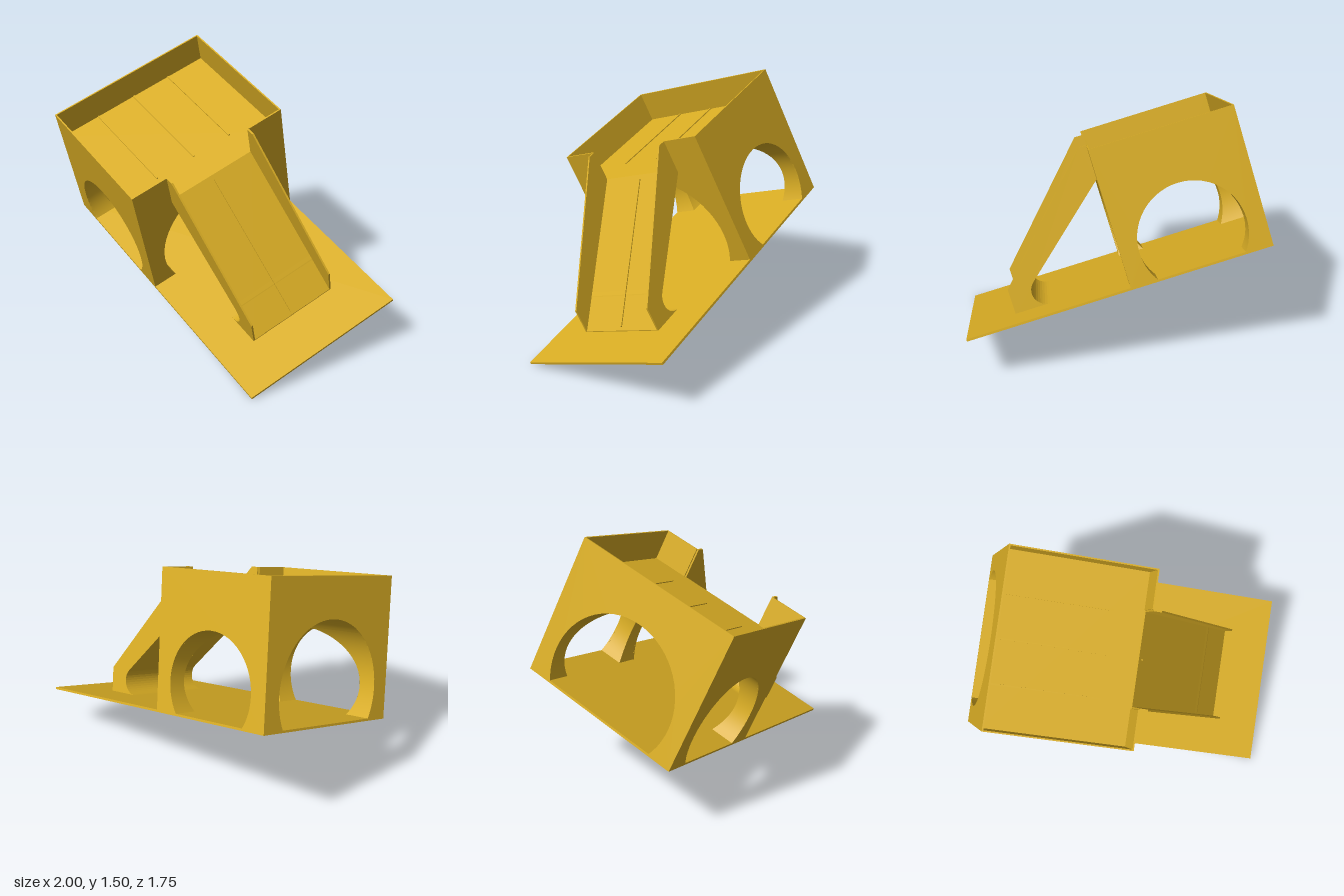
import * as THREE from 'three';

const gold = new THREE.MeshStandardMaterial({ color: 0xd9ad24, side: THREE.DoubleSide });

// Main sizes: the toy lies along x, with the tower at -x and the ramp at +x
const L = 1.774, W = 0.4975, BASE = 0.013;
const BACK = -0.887, FRONT = -0.062, CX = (BACK + FRONT) / 2, HALF = (FRONT - BACK) / 2;
const TOP = 0.816, DECK = 0.635, WALL = 0.008, RAMP = 0.275;
const ARCH_Y = 0.188, R_LONG = 0.395, R_CROSS = 0.31;

function add(group, name, geometry, x = 0, y = 0, z = 0) {
  const mesh = new THREE.Mesh(geometry, gold);
  mesh.name = name;
  mesh.position.set(x, y, z);
  group.add(mesh);
  return mesh;
}

function extrude(points, depth) {
  const shape = new THREE.Shape(points.map(([x, y]) => new THREE.Vector2(x, y)));
  return new THREE.ExtrudeGeometry(shape, { depth, bevelEnabled: false });
}

// Arc cut off by the ground, from left foot over the top to right foot
function archPoints(r, n = 40) {
  const a = Math.asin(-ARCH_Y / r), pts = [];
  for (let i = 0; i <= n; i++) {
    const t = Math.PI - a + (2 * a - Math.PI) * i / n;
    pts.push([r * Math.cos(t), ARCH_Y + r * Math.sin(t)]);
  }
  return pts;
}

// Wall outline with an arch, and an optional doorway in the top edge
function wallOutline(half, r, door) {
  const top = door ? [[door, TOP], [door, DECK], [-door, DECK], [-door, TOP]] : [];
  return [[-half, 0], ...archPoints(r), [half, 0], [half, TOP], ...top, [-half, TOP]];
}

// Surface ruled between two curves, both sampled over t = from..to
function ruled(from, to, curveA, curveB, n = 32) {
  const pos = [], idx = [];
  for (let i = 0; i <= n; i++) {
    const t = from + (to - from) * i / n;
    pos.push(...curveA(t), ...curveB(t));
    if (i < n) idx.push(2 * i, 2 * i + 1, 2 * i + 2, 2 * i + 1, 2 * i + 3, 2 * i + 2);
  }
  const g = new THREE.BufferGeometry();
  g.setAttribute('position', new THREE.Float32BufferAttribute(pos, 3));
  g.setIndex(idx);
  g.computeVertexNormals();
  return g;
}

function buildTower() {
  const tower = new THREE.Group();
  tower.name = 'tower';

  // Four thin walls, each with an arch
  const side = extrude(wallOutline(HALF, R_CROSS), WALL);
  add(tower, 'leftWall', side, CX, 0, W - WALL);
  add(tower, 'rightWall', side, CX, 0, -W);
  add(tower, 'frontWall', extrude(wallOutline(W, R_LONG, RAMP), WALL), FRONT).rotation.y = -Math.PI / 2;
  add(tower, 'backWall', extrude(wallOutline(W, R_LONG), WALL), BACK + WALL).rotation.y = -Math.PI / 2;

  // Sunken deck with three thin ribs
  add(tower, 'deck', new THREE.BoxGeometry(2 * HALF - 0.004, 0.03, 2 * W - 0.004), CX, DECK - 0.015, 0);
  for (const z of [-0.248, 0, 0.248]) {
    add(tower, 'deckRib', new THREE.BoxGeometry(0.645, 0.008, 0.01), BACK + 0.3225, DECK + 0.002, z);
  }

  // Two crossing barrel tunnels; each surface stops where the other tunnel begins
  const a = Math.asin(-ARCH_Y / R_CROSS);
  const foot = Math.asin(-ARCH_Y / R_LONG), spring = Math.asin(R_CROSS / R_LONG);
  for (const s of [-1, 1]) {
    const cross = (t, z) => [CX + R_CROSS * Math.cos(t), ARCH_Y + R_CROSS * Math.sin(t), s * z];
    add(tower, 'crossTunnel', ruled(a, Math.PI - a,
      t => cross(t, W - WALL),
      t => cross(t, Math.sqrt(R_LONG ** 2 - (R_CROSS * Math.sin(t)) ** 2)), 48));
    for (const k of [-1, 1]) {
      const long = (t, x) => [CX + s * x, ARCH_Y + R_LONG * Math.sin(t), k * R_LONG * Math.cos(t)];
      add(tower, 'longTunnelSide', ruled(foot, spring,
        t => long(t, HALF - WALL),
        t => long(t, Math.sqrt(Math.max(0, R_CROSS ** 2 - (R_LONG * Math.sin(t)) ** 2)))));
    }
  }
  const crown = (t, x) => [x, ARCH_Y + R_LONG * Math.sin(t), R_LONG * Math.cos(t)];
  add(tower, 'longTunnelCrown', ruled(spring, Math.PI - spring,
    t => crown(t, BACK + WALL), t => crown(t, FRONT - WALL)));
  return tower;
}

function buildRamp() {
  const ramp = new THREE.Group();
  ramp.name = 'ramp';
  const END = 0.606, LOW = 0.018, CURB = 0.01;

  // Underside: a round fillet at the foot, then straight up to the deck
  const slope = Math.atan2(DECK - LOW, END - FRONT), r = 0.083, fx = 0.4;
  const under = [];
  for (let i = 0; i <= 14; i++) {
    const t = -Math.PI / 2 + (Math.PI - slope) * i / 14;
    under.push([fx + r * Math.cos(t), r + BASE + r * Math.sin(t)]);
  }
  under.push([FRONT, DECK - 0.02]);

  add(ramp, 'slide', extrude([[FRONT, DECK], [END, LOW], [END, 0.002], [fx, 0.002], ...under], 2 * RAMP - 0.004),
    0, 0, -RAMP + 0.002);

  // Curbs on both sides
  const curb = extrude([[FRONT, TOP], [-0.015, TOP], [END, 0.16], [END, 0.002], [fx, 0.002], ...under], CURB);
  add(ramp, 'leftCurb', curb, 0, 0, RAMP - CURB);
  add(ramp, 'rightCurb', curb, 0, 0, -RAMP);

  // Centre rib down the slide
  const length = 0.86;
  add(ramp, 'slideRib', new THREE.BoxGeometry(length, 0.008, 0.01),
    (FRONT + END) / 2 + 0.004, (DECK + LOW) / 2, 0).rotation.z = -slope;
  return ramp;
}

export function createModel() {
  const model = new THREE.Group();
  model.name = 'playTower';

  // The whole piece is tipped forward and turned
  const body = new THREE.Group();
  body.name = 'tiltedBody';
  body.position.y = 0.38;
  body.rotation.set(0.408, -0.701, 0);
  model.add(body);

  add(body, 'basePlate', new THREE.BoxGeometry(L, BASE, 2 * W), 0, BASE / 2, 0);
  body.add(buildTower(), buildRamp());
  return model;
}
